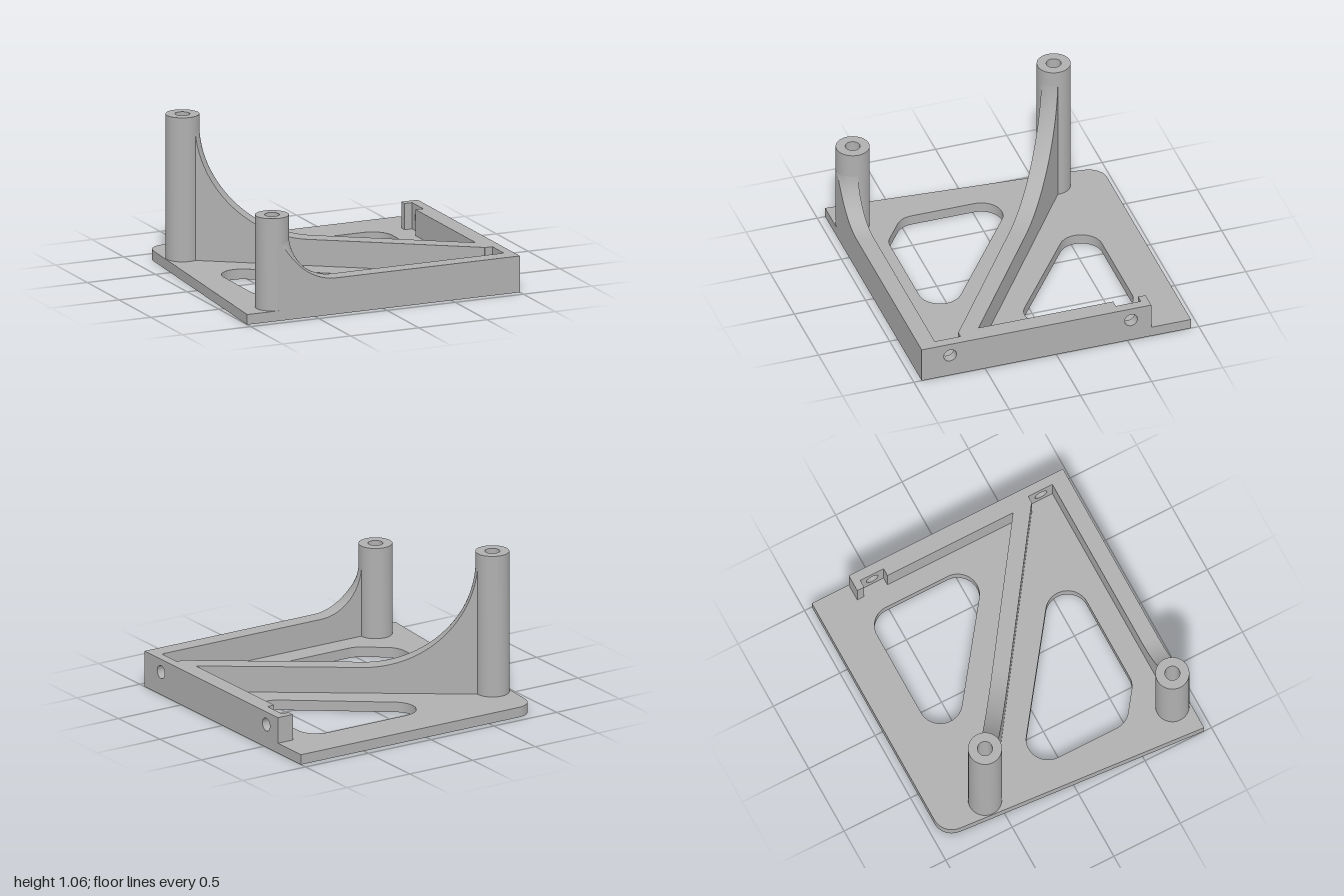
import * as THREE from 'three';
import { toCreasedNormals } from 'three/addons/utils/BufferGeometryUtils.js';

const PLATE = 0.07, RAIL = 0.25, POST_R = 0.113, BORE_R = 0.1;

// Convex outline wrapped around circles of one radius
function roundedPath(centres, r) {
  const path = new THREE.Path();
  const n = centres.length;
  const normal = (a, b) => Math.atan2(b[1] - a[1], b[0] - a[0]) - Math.PI / 2;
  centres.forEach((c, i) => {
    const before = normal(centres[(i + n - 1) % n], c);
    const after = normal(c, centres[(i + 1) % n]);
    path.absarc(c[0], c[1], r, before, after, false);
  });
  path.closePath();
  return path;
}

function circlePath(x, y, r) {
  return new THREE.Path().absarc(x, y, r, 0, Math.PI * 2, false);
}

// Rib that sweeps up into a round post: its top follows a fillet turned about the post axis
function ribGeometry(length, w0, w1, fillet) {
  const n = 33, arc = n - 1;
  const g = new THREE.BoxGeometry(1, 1, 1, n, 1, 8);
  const p = g.attributes.position;
  for (let k = 0; k < p.count; k++) {
    const i = Math.round((p.getX(k) + 0.5) * n);
    const w = w0 + (p.getZ(k) + 0.5) * (w1 - w0);
    const a = (Math.min(i, arc) / arc) * Math.PI / 2;
    const d = POST_R - 0.002 + fillet * (1 - Math.cos(a));
    const t = i === n ? length : Math.sqrt(Math.max(0, d * d - w * w));
    const top = RAIL + fillet * (1 - Math.sin(a));
    p.setXYZ(k, t, p.getY(k) > 0 ? top : PLATE, w);
  }
  g.computeVertexNormals();
  return g;
}

// Hollow post with a wide bore below and a narrow hole above
function postGeometry(height) {
  const bore = 0.25;
  const profile = [
    [POST_R, PLATE], [POST_R, height], [0.05, height],
    [0.05, bore], [BORE_R, bore], [BORE_R, PLATE],
  ].map(([x, y]) => new THREE.Vector2(x, y));
  return toCreasedNormals(new THREE.LatheGeometry(profile, 64), 0.6);
}

export function createModel() {
  const model = new THREE.Group();
  const grey = new THREE.MeshStandardMaterial({ color: 0xb0b0b0 });
  grey.name = 'grey';
  const add = (name, geometry, x = 0, y = 0, z = 0) => {
    const mesh = new THREE.Mesh(geometry, grey);
    mesh.name = name;
    mesh.position.set(x, y, z);
    model.add(mesh);
    return mesh;
  };

  const posts = [
    { side: 'back', x: -0.765, z: -0.58, height: 1.06 },
    { side: 'front', x: -0.765, z: 0.831, height: 0.705 },
  ];

  // Base plate, drawn as x and z, with two windows and the post bores
  const plate = new THREE.Shape();
  plate.moveTo(-1, 0.945);
  plate.lineTo(-0.866, -0.825);
  plate.absarc(-0.735, -0.815, 0.13, Math.PI + 0.076, Math.PI * 1.5, false);
  plate.lineTo(1, -0.945);
  plate.lineTo(1, 0.945);
  plate.closePath();
  plate.holes.push(
    roundedPath([[-0.023, -0.522], [0.6, -0.522], [0.6, -0.06]], 0.145),
    roundedPath([[-0.585, -0.01], [0.153, 0.53], [-0.45, 0.53], [-0.585, 0.43]], 0.145),
    ...posts.map((q) => circlePath(q.x, q.z, BORE_R)),
  );
  const plateGeometry = new THREE.ExtrudeGeometry(plate, {
    depth: PLATE, bevelEnabled: false, curveSegments: 24,
  });
  plateGeometry.rotateX(Math.PI / 2);
  add('basePlate', toCreasedNormals(plateGeometry, 0.6), 0, PLATE, 0);

  // Posts
  for (const q of posts) add(q.side + 'Post', postGeometry(q.height), q.x, 0, q.z);

  // Ribs running from the posts to the side wall
  const [back, front] = posts;
  const diagonal = add('diagonalRib', ribGeometry(2.06, -0.057, 0.057, 0.75), back.x, 0, back.z);
  diagonal.rotation.y = -Math.atan2(1.155, 1.645);
  add('frontRib', ribGeometry(0.935 - front.x, 0, 0.114, 0.32), front.x, 0, front.z);

  // Side wall with two screw holes, drawn as -z and y
  const wall = new THREE.Shape();
  wall.moveTo(-0.945, PLATE);
  wall.lineTo(0.667, PLATE);
  wall.lineTo(0.667, RAIL);
  wall.lineTo(-0.945, RAIL);
  wall.closePath();
  for (const z of [0.745, -0.525]) wall.holes.push(circlePath(-z, 0.16, 0.045));
  const wallGeometry = new THREE.ExtrudeGeometry(wall, {
    depth: 0.065, bevelEnabled: false, curveSegments: 24,
  });
  wallGeometry.rotateY(Math.PI / 2);
  add('sideWall', toCreasedNormals(wallGeometry, 0.6), 0.935, 0, 0);

  // Thicker stretches of the wall that leave pockets at the screw holes
  for (const [name, z0, z1] of [['wallEnd', -0.667, -0.615], ['wallBacking', -0.44, 0.65]]) {
    add(name, new THREE.BoxGeometry(0.055, RAIL - PLATE, z1 - z0),
      0.9075, (RAIL + PLATE) / 2, (z0 + z1) / 2);
  }

  return model;
}
